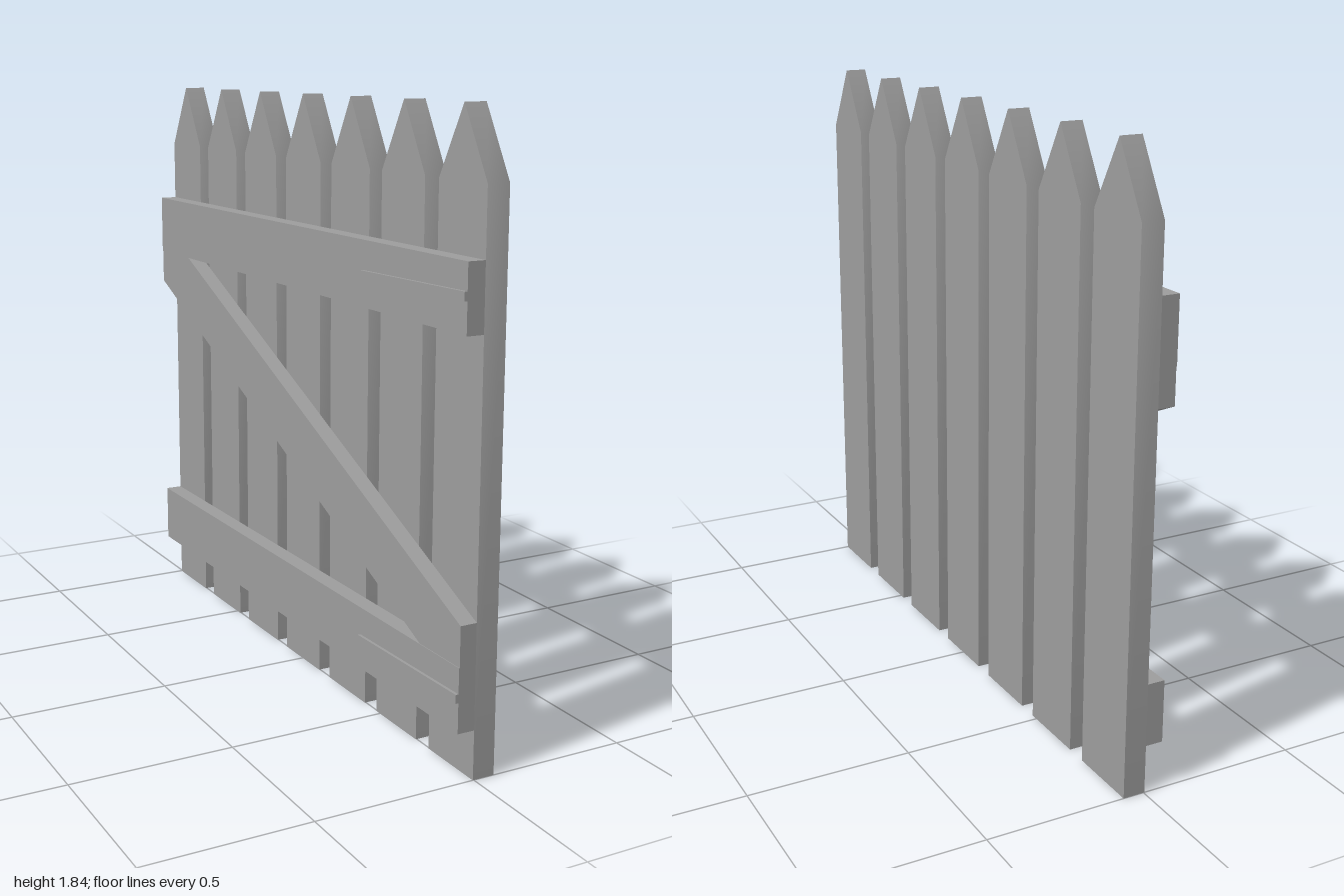
import * as THREE from 'three';
import { toCreasedNormals } from 'three/addons/utils/BufferGeometryUtils.js';

const material = new THREE.MeshStandardMaterial({ color: 0x9d9d9d });

// Extrudes a flat outline of [z, y] points between two x positions.
// Edges bending less than the crease angle are shaded smoothly.
function board(name, points, xMin, xMax, crease = 0.1) {
  const shape = new THREE.Shape(points.map(([z, y]) => new THREE.Vector2(z, y)));
  const geometry = new THREE.ExtrudeGeometry(shape, { depth: xMax - xMin, bevelEnabled: false });
  geometry.rotateY(-Math.PI / 2);
  geometry.translate(xMax, 0, 0);
  const mesh = new THREE.Mesh(toCreasedNormals(geometry, crease), material);
  mesh.name = name;
  return mesh;
}

export function createModel() {
  const gate = new THREE.Group();
  gate.name = 'picketGate';

  // Seven pointed pickets, shaded softly where the sides turn into the tips
  const count = 7, half = 0.1135, pitch = (2 - 2 * half) / (count - 1);
  for (let i = 0; i < count; i++) {
    const z = -1 + half + i * pitch;
    gate.add(board('picket' + (i + 1), [
      [z - half, 0], [z + half, 0], [z + half, 1.64], [z, 1.842], [z - half, 1.64],
    ], -0.003, 0.066, 0.7));
  }

  // Horizontal rails, each with a tapering strap hinge
  const rails = [['lower', 0.148, 0.34, 0.252], ['upper', 1.25, 1.445, 1.355]];
  for (const [label, bottom, top, strapY] of rails) {
    gate.add(board(label + 'Rail', [[-1, bottom], [1, bottom], [1, top], [-1, top]], -0.057, -0.003));
    gate.add(board(label + 'StrapHinge', [
      [0.47, strapY - 0.003], [1, strapY - 0.013], [1, strapY + 0.013], [0.47, strapY + 0.003],
    ], -0.066, -0.057));
  }

  // Diagonal brace, cut to fit between the rails
  gate.add(board('diagonalBrace', [
    [0.797, 0.34], [1, 0.34], [1, 0.46], [-0.773, 1.25], [-1, 1.25], [-1, 1.14],
  ], -0.055, -0.003));

  return gate;
}
